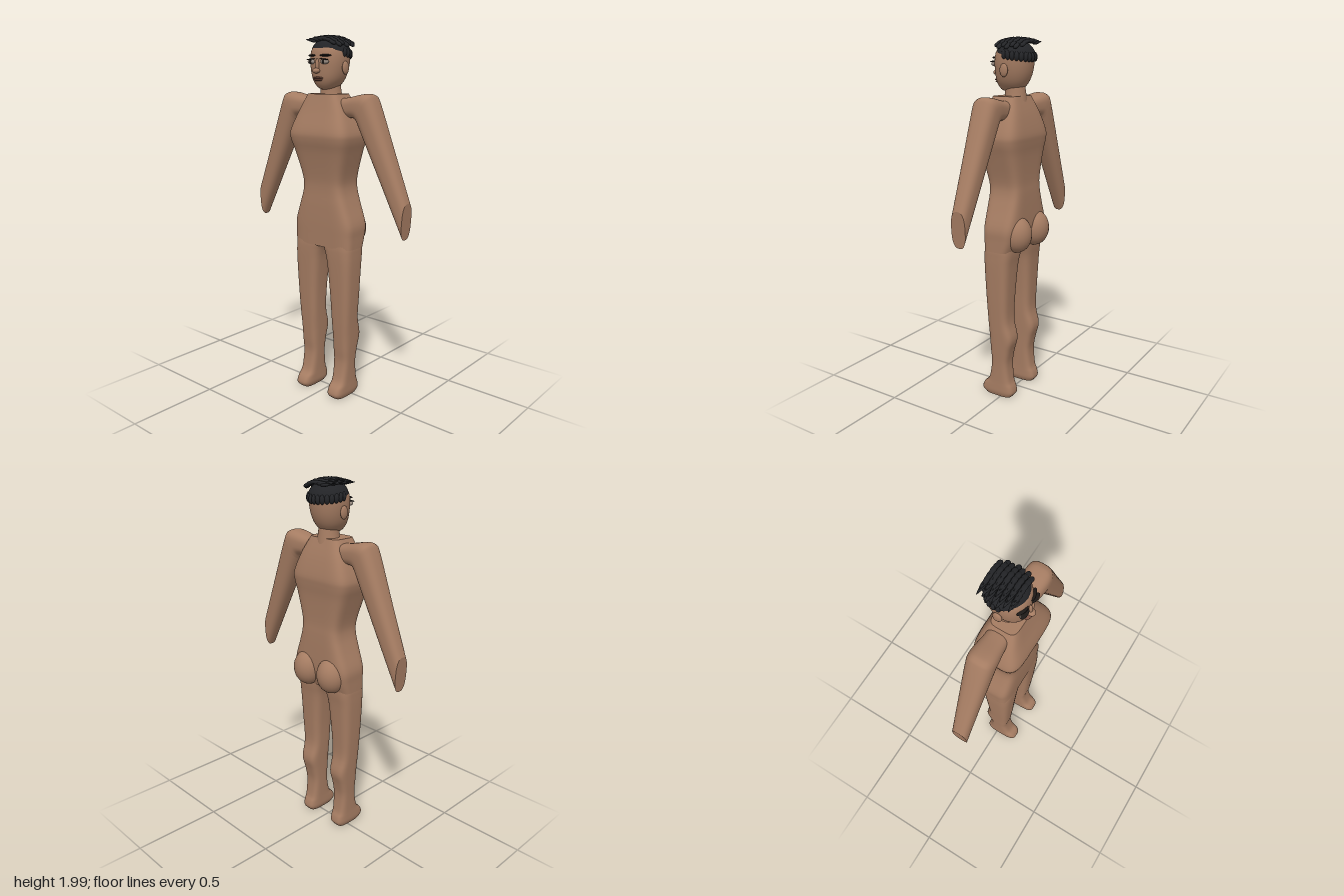
import * as THREE from 'three';

const mat = (name, color) => {
  const m = new THREE.MeshStandardMaterial({ color });
  m.name = name;
  return m;
};
const lerp = THREE.MathUtils.lerp;

// Smoothly resamples rows of numbers (Catmull-Rom per column)
function resample(rows, steps) {
  const out = [];
  const last = rows.length - 1;
  for (let i = 0; i < last; i++) {
    for (let k = 0; k < steps; k++) {
      const t = k / steps;
      out.push(rows[i].map((b, c) => {
        const a = rows[Math.max(i - 1, 0)][c], d = rows[i + 1][c];
        const e = rows[Math.min(i + 2, last)][c];
        return b + 0.5 * t * (d - a + t * (2 * a - 5 * b + 4 * d - e + t * (3 * (b - d) + e - a)));
      }));
    }
  }
  out.push(rows[last]);
  return out;
}

// Skin over superellipse sections [px, py, qx, qy, zBack, zFront];
// p and q are the two ends of each section, side -1 mirrors in x
function loft(rows, { power = 2, side = 1, steps = 4, seg = 40 } = {}) {
  const secs = resample(rows, steps);
  const pos = [], idx = [];
  const tri = (a, b, c) => (side > 0 ? idx.push(a, b, c) : idx.push(a, c, b));
  const bend = (v) => Math.sign(v) * Math.abs(v) ** (2 / power);
  const ring = ([px, py, qx, qy, z0, z1]) => {
    for (let j = 0; j < seg; j++) {
      const a = (j / seg) * Math.PI * 2;
      const u = bend(Math.cos(a)) / 2, w = bend(Math.sin(a)) / 2;
      pos.push(side * ((px + qx) / 2 + (px - qx) * u), (py + qy) / 2 + (py - qy) * u,
        (z0 + z1) / 2 + (z1 - z0) * w);
    }
  };
  secs.forEach(ring);
  for (let i = 0; i < secs.length - 1; i++) {
    for (let j = 0; j < seg; j++) {
      const k = (j + 1) % seg, a = i * seg, b = a + seg;
      tri(a + j, b + j, a + k);
      tri(a + k, b + j, b + k);
    }
  }
  // End caps with their own vertices, so the rims stay sharp
  for (const end of [0, 1]) {
    const s = secs[end ? secs.length - 1 : 0];
    const base = pos.length / 3;
    ring(s);
    pos.push(side * (s[0] + s[2]) / 2, (s[1] + s[3]) / 2, (s[4] + s[5]) / 2);
    for (let j = 0; j < seg; j++) {
      const a = base + j, b = base + (j + 1) % seg;
      if (end) tri(a, base + seg, b); else tri(a, b, base + seg);
    }
  }
  const g = new THREE.BufferGeometry();
  g.setAttribute('position', new THREE.Float32BufferAttribute(pos, 3));
  g.setIndex(idx);
  g.computeVertexNormals();
  return g;
}

// Horizontal sections: [y, inner x, outer x, back z, front z]
const level = (rows) => rows.map(([y, x0, x1, z0, z1]) => [x1, y, x0, y, z0, z1]);
const centred = (rows) => level(rows.map(([y, w, z0, z1]) => [y, -w, w, z0, z1]));

export function createModel() {
  const model = new THREE.Group();
  const skin = mat('skin', 0xa57c62);
  const hair = mat('hair', 0x232427);
  const dark = mat('browAndIris', 0x1d1917);
  const eyeWhite = mat('eyeWhite', 0x94877d);
  const lip = mat('lip', 0x7d5344);

  const add = (name, geo, material, parent = model) => {
    const m = new THREE.Mesh(geo, material);
    m.name = name;
    parent.add(m);
    return m;
  };
  const ball = (name, material, p, r, parent) => {
    const m = add(name, new THREE.SphereGeometry(1, 24, 16), material, parent);
    m.position.set(...p);
    m.scale.set(...r);
    return m;
  };

  // Torso, boxy with rounded corners
  add('torso', loft(centred([
    [0.87, 0.195, -0.07, 0.098], [0.93, 0.196, -0.09, 0.1], [1.0, 0.195, -0.1, 0.102],
    [1.1, 0.16, -0.1, 0.102], [1.18, 0.136, -0.098, 0.1], [1.25, 0.137, -0.095, 0.105],
    [1.38, 0.172, -0.1, 0.13], [1.45, 0.193, -0.108, 0.149], [1.5, 0.192, -0.109, 0.15],
    [1.6, 0.15, -0.085, 0.118], [1.69, 0.1, -0.052, 0.092],
  ]), { power: 5, seg: 64 }), skin);
  add('neck', loft(centred([
    [1.64, 0.075, -0.066, 0.06], [1.69, 0.058, -0.06, 0.055], [1.76, 0.05, -0.05, 0.052],
  ])), skin);

  for (const side of [1, -1]) {
    const tag = side > 0 ? 'left' : 'right';
    // Leg and foot in one skin
    add(tag + 'Leg', loft(level([
      [0, 0.078, 0.158, -0.055, 0.11], [0.025, 0.068, 0.166, -0.072, 0.132],
      [0.06, 0.067, 0.166, -0.066, 0.12], [0.1, 0.067, 0.165, -0.05, 0.085],
      [0.2, 0.065, 0.166, -0.04, 0.065], [0.28, 0.063, 0.17, -0.053, 0.07],
      [0.36, 0.06, 0.174, -0.071, 0.075], [0.46, 0.056, 0.179, -0.047, 0.081],
      [0.6, 0.049, 0.187, -0.05, 0.088], [0.77, 0.032, 0.194, -0.06, 0.096],
      [0.84, 0.016, 0.195, -0.068, 0.098], [0.88, 0, 0.194, -0.07, 0.097],
      [0.95, 0, 0.185, -0.07, 0.09],
    ]), { power: 3.6, side }), skin);
    ball(tag + 'Buttock', skin, [side * 0.091, 0.96, -0.07], [0.084, 0.1, 0.081]);

    // Shoulder and arm, cut off upright at the wrist
    add(tag + 'Arm', loft([
      [0.07, 1.57, 0.07, 1.665, -0.045, 0.065], [0.15, 1.57, 0.15, 1.675, -0.05, 0.07],
      [0.195, 1.565, 0.235, 1.692, -0.058, 0.078], [0.212, 1.545, 0.282, 1.69, -0.06, 0.079],
      [0.232, 1.505, 0.312, 1.65, -0.059, 0.077], [0.36, 1.25, 0.41, 1.41, -0.048, 0.063],
      [0.5, 0.97, 0.513, 1.16, -0.035, 0.05],
    ], { power: 2.7, side }), skin);
  }

  // Head and face
  const head = new THREE.Group();
  head.name = 'head';
  model.add(head);
  add('skull', loft(centred([
    [1.712, 0.026, -0.01, 0.055], [1.725, 0.05, -0.04, 0.08], [1.76, 0.077, -0.07, 0.098],
    [1.81, 0.094, -0.09, 0.105], [1.87, 0.101, -0.098, 0.106], [1.92, 0.093, -0.093, 0.095],
    [1.95, 0.06, -0.06, 0.06],
  ]), { power: 2.2 }), skin, head);
  ball('noseBridge', skin, [0, 1.835, 0.106], [0.011, 0.035, 0.014], head);
  ball('noseTip', skin, [0, 1.808, 0.116], [0.019, 0.014, 0.02], head);
  ball('upperLip', lip, [0, 1.772, 0.102], [0.032, 0.006, 0.018], head);
  ball('lowerLip', lip, [0, 1.762, 0.101], [0.026, 0.007, 0.017], head);
  for (const side of [1, -1]) {
    ball('eye', eyeWhite, [side * 0.044, 1.853, 0.1], [0.026, 0.012, 0.014], head);
    ball('iris', dark, [side * 0.044, 1.853, 0.109], [0.01, 0.01, 0.007], head);
    const lash = ball('lash', dark, [side * 0.045, 1.866, 0.107], [0.029, 0.003, 0.014], head);
    lash.rotation.z = -side * 0.1;
    const brow = ball('brow', dark, [side * 0.046, 1.885, 0.096], [0.033, 0.006, 0.012], head);
    brow.rotation.y = side * 0.3;
    ball('ear', skin, [side * 0.104, 1.823, 0.004], [0.012, 0.034, 0.024], head);
  }

  // Hair cap, higher at the brow than at the nape
  const hairGroup = new THREE.Group();
  hairGroup.name = 'hair';
  model.add(hairGroup);
  const cap = add('hairCap', new THREE.SphereGeometry(1, 32, 16, 0, Math.PI * 2, 0, Math.PI / 2), hair, hairGroup);
  cap.material = hair;
  cap.scale.set(0.106, 0.078, 0.103);
  cap.position.set(0, 1.897, -0.006);
  cap.rotation.x = -0.22;

  // Locks swept to the right side, tapering to a point at -x
  const lock = new THREE.SphereGeometry(1, 14, 10);
  const p = lock.attributes.position;
  for (let i = 0; i < p.count; i++) {
    const x = p.getX(i), k = lerp(0.25, 1, (x + 1) / 2);
    p.setXYZ(i, x < 0 ? x * 1.5 : x, p.getY(i) * k, p.getZ(i) * k);
  }
  lock.computeVertexNormals();
  for (let r = 0; r < 7; r++) {
    const z = lerp(-0.088, 0.066, r / 6);
    const half = Math.sqrt(1 - ((z + 0.01) / 0.106) ** 2);
    for (let c = 0; c < 6; c++) {
      const x = lerp(-0.085, 0.085, (c + (r % 2) * 0.4) / 5.4) * (0.3 + 0.7 * half);
      const drop = x > 0 ? (x / 0.1) ** 2 * 0.045 : (x / 0.1) ** 2 * 0.02;
      const m = add('lock', lock, hair, hairGroup);
      m.position.set(x, 1.981 - drop - (1 - half) * 0.035, z);
      m.scale.set(0.034, 0.014, 0.019);
      m.rotation.z = x > 0 ? -0.1 - x * 6 : -0.12;
    }
  }

  // Short tufts around the sides and nape
  for (let i = 0; i < 15; i++) {
    const a = lerp(-0.15, Math.PI + 0.15, i / 14);
    const z = -0.008 - Math.sin(a) * 0.094;
    ball('sideTuft', hair, [Math.cos(a) * 0.098, 1.9 + z * 0.13, z], [0.014, 0.024, 0.014], hairGroup);
  }
  return model;
}
